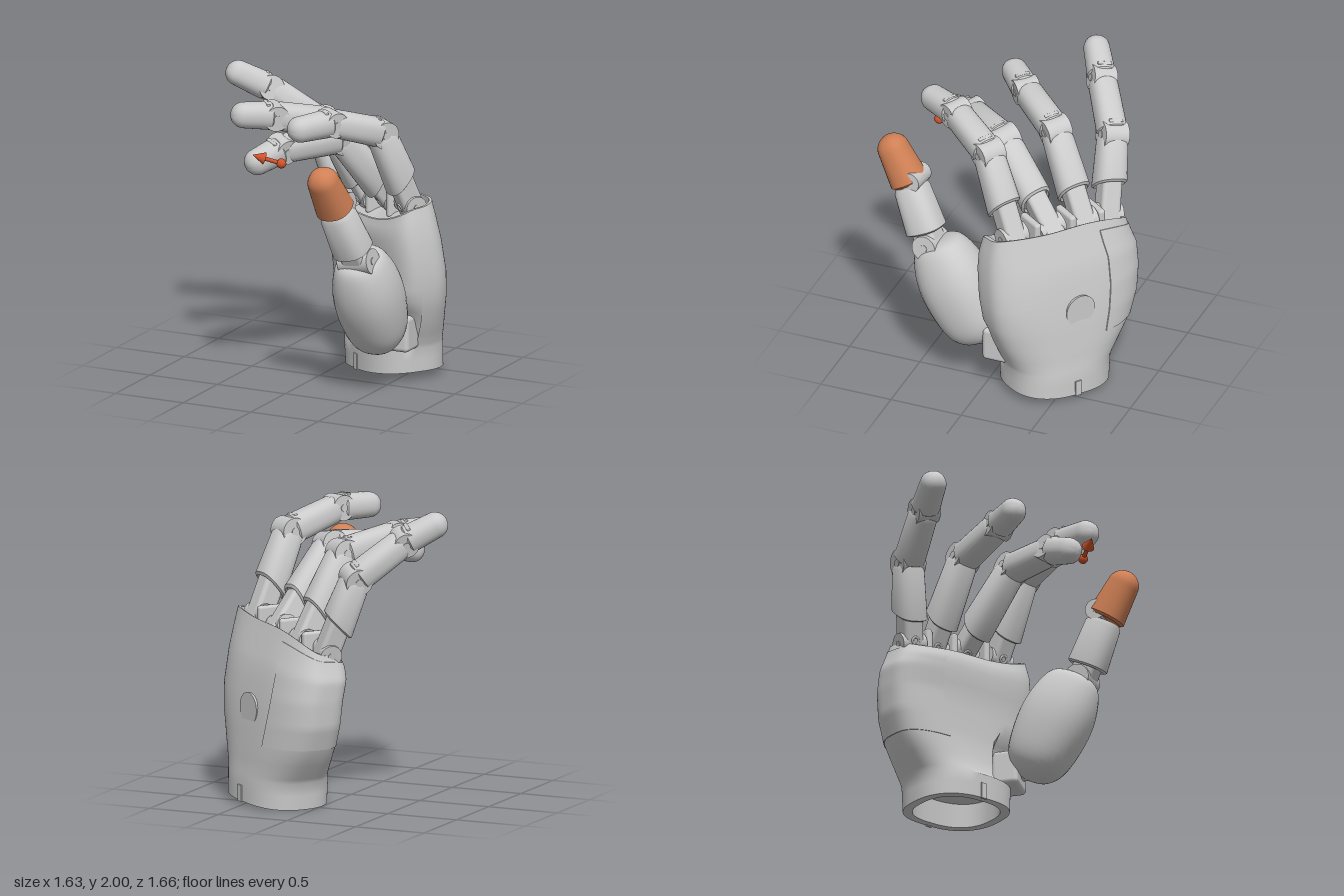
import * as THREE from 'three';
import { toCreasedNormals } from 'three/addons/utils/BufferGeometryUtils.js';
import { RoundedBoxGeometry } from 'three/addons/geometries/RoundedBoxGeometry.js';

const V = (x, y, z) => new THREE.Vector3(x, y, z);
const grey = new THREE.MeshStandardMaterial({ color: 0xcccccc });
const greyThin = new THREE.MeshStandardMaterial({ color: 0xcccccc, side: THREE.DoubleSide });
const copper = new THREE.MeshStandardMaterial({ color: 0xd08055 });
const orange = new THREE.MeshStandardMaterial({ color: 0xd0532c });

function add(parent, name, geo, mat = grey) {
  const m = new THREE.Mesh(geo, mat);
  m.name = name;
  parent.add(m);
  return m;
}

// Group at point a: local Y runs towards b, local X lies along the hinge axis
function frame(parent, name, a, b, hinge) {
  const g = new THREE.Group();
  const y = b.clone().sub(a).normalize();
  const x = hinge.clone().addScaledVector(y, -hinge.dot(y)).normalize();
  g.quaternion.setFromRotationMatrix(new THREE.Matrix4().makeBasis(x, y, x.clone().cross(y)));
  g.position.copy(a);
  g.name = name;
  parent.add(g);
  return g;
}

// Lathe with a slightly squared cross-section; slant tilts the rings below height yCut
function squaredLathe(profile, p = 2.6, depth = 1, slant = 0, yCut = 0) {
  const geo = new THREE.LatheGeometry(profile.map(([r, y]) => new THREE.Vector2(r, y)), 32);
  const pos = geo.attributes.position;
  for (let i = 0; i < pos.count; i++) {
    const x = pos.getX(i), y = pos.getY(i), z = pos.getZ(i), r = Math.hypot(x, z);
    if (r < 1e-5) continue;
    const k = 1 / Math.pow(Math.abs(x / r) ** p + Math.abs(z / r) ** p, 1 / p);
    pos.setXYZ(i, x * k, y - (y < yCut ? slant * z * k : 0), z * k * depth);
  }
  return toCreasedNormals(geo, 0.6);
}

const sleeve = (r0, r1, y0, y1, slant = 0) => squaredLathe([
  [0, y0 + 0.02], [r0 * 0.8, y0 + 0.02], [r0 * 0.86, y0], [r0, y0 + 0.012],
  [r1, y1 - 0.03], [r1 * 0.85, y1], [0, y1]], 2.6, 1, slant, y0 + 0.03);

function fingertip(r0, r1, y0, y1) {
  const pts = [[0, y0], [r0 * 0.85, y0], [r0, y0 + 0.015]];
  for (let i = 0; i <= 8; i++) {
    const t = i / 8 * Math.PI / 2;
    pts.push([r1 * Math.cos(t), y1 + r1 * Math.sin(t)]);
  }
  return squaredLathe(pts, 2.3);
}

function hingePin(parent, name, r, len) {
  const pin = add(parent, name, new THREE.CylinderGeometry(r, r, len, 28));
  pin.rotation.z = Math.PI / 2;
  for (const s of [-1, 1]) {
    const cap = add(parent, name + 'Cap', new THREE.CylinderGeometry(r * 0.3, r * 0.3, 0.01, 16));
    cap.rotation.z = Math.PI / 2;
    cap.position.x = s * len / 2;
  }
}

// Palm rows: height, side tilt, back lift, centre x, centre z, half width, half depth, roundness, thumb dent, back bulge
const C = Math.cos(0.61), S = Math.sin(0.61);
const rows = [
  [0.03, 0.03, 0, 0.35, -0.40, 0.36, 0.285, 2.5, 0, 0],
  [0.20, 0.02, 0, 0.345, -0.40, 0.37, 0.285, 2.5, 0, 0],
  [0.23, 0.02, 0, 0.34, -0.405, 0.385, 0.265, 2.6, 0.10, 0.05],
  [0.42, 0, 0, 0.31, -0.42, 0.495, 0.225, 3, 0.08, 0.2],
  [0.58, 0, 0, 0.305, -0.415, 0.55, 0.215, 3.2, 0, 0.22],
  [0.75, 0, 0, 0.30, -0.405, 0.57, 0.205, 3.5, 0, 0.22],
  [0.93, 0.04, 0.02, 0.28, -0.385, 0.57, 0.2, 3.5, 0, 0.2],
  [1.04, 0.06, 0.04, 0.28, -0.37, 0.545, 0.19, 3.5, 0, 0.1],
  [1.14, 0.08, 0.07, 0.28, -0.37, 0.52, 0.165, 3.5, 0, 0]];

function palmPoint(y, t, scale = 1, offset = 0) {
  let i = 0;
  while (i < rows.length - 2 && y > rows[i + 1][0]) i++;
  const f = THREE.MathUtils.clamp((y - rows[i][0]) / (rows[i + 1][0] - rows[i][0]), 0, 1);
  const [, tilt, lift, cx, cz, a, b, p, dent, bulge] = rows[i].map((v, k) => THREE.MathUtils.lerp(v, rows[i + 1][k], f));
  const c = Math.cos(t), s = Math.sin(t);
  const u = Math.sign(c) * Math.abs(c) ** (2 / p) * (a * scale + offset);
  let n = Math.sign(s) * Math.abs(s) ** (2 / p) * (b * scale + offset);
  if (s < 0) n *= 1 + bulge * s * s;
  if (c > 0.2 && s > 0.1) n -= dent;
  return V(cx + u * C - n * S, y + (tilt * c - lift * s) * scale, cz + u * S + n * C);
}

// Skin over a grid of points
function loft(fn, nu, nv) {
  const pos = [], idx = [];
  for (let i = 0; i <= nv; i++) for (let j = 0; j <= nu; j++) pos.push(...fn(i, j).toArray());
  for (let i = 0; i < nv; i++) for (let j = 0; j < nu; j++) {
    const a = i * (nu + 1) + j, b = a + 1, c = a + nu + 1, d = c + 1;
    idx.push(a, c, b, b, c, d);
  }
  const g = new THREE.BufferGeometry();
  g.setAttribute('position', new THREE.Float32BufferAttribute(pos, 3));
  g.setIndex(idx);
  return toCreasedNormals(g, 0.6);
}

function buildPalm(parent) {
  const g = new THREE.Group();
  g.name = 'palm';
  parent.add(g);
  // Hollow wrist, outer skin, then the shallow knuckle tray: [height, scale, drop]
  const rings = [[0.2, 0.01, 0], [0.2, 0.8, 0], [0.03, 0.82, 0]];
  for (const y of [0.03, 0.12, 0.2, 0.23, 0.32, 0.42, 0.5, 0.58, 0.66, 0.75, 0.84, 0.93, 0.98, 1.04, 1.09, 1.14]) rings.push([y, 1, 0]);
  rings.push([1.14, 0.94, 0], [1.14, 0.92, 0.05], [1.14, 0.01, 0.05]);
  add(g, 'palmShell', loft((i, j) => {
    const q = palmPoint(rings[i][0], j / 96 * Math.PI * 2, rings[i][1]);
    q.y -= rings[i][2];
    return q;
  }, 96, rings.length - 1));
  // Thin cover on the little finger side
  const nu = 42, nv = 24;
  add(g, 'sideCover', loft((i, j) => {
    const edge = i === 0 || i === nv || j === 0 || j === nu;
    const k = THREE.MathUtils.clamp((i - 1) / (nv - 2), 0, 1), f = THREE.MathUtils.clamp((j - 1) / (nu - 2), 0, 1);
    return palmPoint(0.43 + 0.66 * k, (104 + 152 * f) * Math.PI / 180, 1, edge ? -0.012 : 0.005);
  }, nu, nv), greyThin);
  // Round lid on the back of the hand
  const lid = add(g, 'backLid', new THREE.CylinderGeometry(0.105, 0.11, 0.02, 40));
  lid.position.copy(palmPoint(0.65, -Math.PI / 2));
  lid.rotation.set(Math.PI / 2, 0, 0.61);
  // Wrist keys
  for (const t of [90, -90]) {
    const key = add(g, 'wristKey', new THREE.BoxGeometry(0.045, 0.11, 0.016));
    key.position.copy(palmPoint(0.08, t * Math.PI / 180));
    key.rotation.y = -0.61;
  }
}

function buildFinger(parent, name, K, P, D, T) {
  const g = new THREE.Group();
  g.name = name;
  parent.add(g);
  const hinge = P.clone().sub(K).cross(D.clone().sub(P)).normalize();
  const L1 = K.distanceTo(P), L2 = P.distanceTo(D), L3 = D.distanceTo(T);
  // Knuckle: fork block, hinge pin and screw
  const base = frame(g, 'knuckle', K, P, hinge);
  add(base, 'knuckleBlock', new RoundedBoxGeometry(0.14, 0.36, 0.15, 3, 0.03)).position.y = 0.08;
  hingePin(base, 'knucklePin', 0.075, 0.18);
  const screw = add(base, 'knuckleScrew', new THREE.TorusGeometry(0.024, 0.008, 8, 20));
  screw.position.set(0, 0.02, 0.075);
  add(base, 'proximalSleeve', sleeve(0.111, 0.099, 0.19, L1 - 0.01, 0.5));
  // Middle part
  const mid = frame(g, 'middleJoint', P, D, hinge);
  hingePin(mid, 'middlePin', 0.092, 0.17);
  add(mid, 'middleSleeve', sleeve(0.098, 0.093, 0.02, L2 - 0.015));
  // End part
  const end = frame(g, 'endJoint', D, T, hinge);
  hingePin(end, 'endPin', 0.085, 0.16);
  add(end, 'fingertip', fingertip(0.093, 0.085, 0.015, L3));
  // Narrow stop tabs set into the backs of the two outer joints
  for (const [joint, r] of [[mid, 0.089], [end, 0.084]]) {
    add(joint, 'stopTab', new RoundedBoxGeometry(0.1, 0.025, 0.02, 2, 0.006)).position.set(0, 0.06, -r);
  }
}

function buildThumb(parent) {
  const g = new THREE.Group();
  g.name = 'thumb';
  parent.add(g);
  const hinge = V(1, 0, 0);
  // Mount between palm and thumb
  const mount = add(g, 'thumbMount', new RoundedBoxGeometry(0.24, 0.24, 0.18, 3, 0.03));
  mount.position.set(0.53, 0.35, -0.09);
  const axle = add(g, 'thumbAxle', new THREE.CylinderGeometry(0.075, 0.075, 0.26, 28));
  axle.position.set(0.54, 0.37, 0.03);
  axle.rotation.x = Math.PI / 2;
  // Egg-shaped thumb base
  const egg = frame(g, 'thumbBase', V(0.49, 0.645, 0.228), V(0.485, 1.0, 0.4), hinge);
  const outline = [[0, -0.41], [0.11, -0.38], [0.185, -0.27], [0.22, -0.05], [0.213, 0.14], [0.165, 0.31], [0.1, 0.365], [0, 0.375]];
  const curve = new THREE.SplineCurve(outline.map(([r, y]) => new THREE.Vector2(r, y)));
  const smooth = curve.getPoints(36).map(p => [Math.max(p.x, 0), p.y]);
  add(egg, 'thumbBaseShell', squaredLathe(smooth, 2.3, 1.1));
  // First joint and sleeve
  const K = V(0.5, 0.95, 0.42), P = V(0.425, 1.34, 0.6), T = V(0.4, 1.555, 0.727);
  const low = frame(g, 'thumbLowerJoint', K, P, hinge);
  add(low, 'thumbFork', new RoundedBoxGeometry(0.17, 0.24, 0.16, 3, 0.03)).position.y = 0.02;
  hingePin(low, 'thumbLowerPin', 0.085, 0.23);
  add(low, 'thumbSleeve', sleeve(0.13, 0.115, 0.09, 0.42));
  // Second joint and coloured tip
  const up = frame(g, 'thumbUpperJoint', P, T, hinge);
  const pin = new THREE.Group();
  pin.name = 'thumbUpperHinge';
  pin.position.set(0, 0.02, -0.055);
  up.add(pin);
  hingePin(pin, 'thumbUpperPin', 0.07, 0.2);
  add(up, 'thumbTip', fingertip(0.125, 0.104, 0.0, P.distanceTo(T)), copper);
}

// Ball with an arrow in front of the middle fingertip
function buildPointer(parent) {
  const g = frame(parent, 'pointer', V(0.005, 1.595, 0.565), V(-0.155, 1.66, 0.67), V(0, 1, 0));
  add(g, 'pointerBall', new THREE.SphereGeometry(0.033, 24, 16), orange);
  add(g, 'pointerShaft', new THREE.CylinderGeometry(0.014, 0.014, 0.14, 16), orange).position.y = 0.07;
  add(g, 'pointerHead', new THREE.ConeGeometry(0.042, 0.085, 24), orange).position.y = 0.16;
}

export function createModel() {
  const hand = new THREE.Group();
  hand.name = 'roboticHand';
  buildPalm(hand);
  // Knuckle, two outer joints and tip centre of each finger
  const fingers = {
    littleFinger: [V(-0.1, 1.07, -0.59), V(-0.29, 1.57, -0.55), V(-0.555, 1.81, -0.365), V(-0.73, 1.915, -0.255)],
    ringFinger: [V(0.11, 1.12, -0.5), V(-0.05, 1.67, -0.24), V(-0.3, 1.76, 0.07), V(-0.455, 1.78, 0.215)],
    middleFinger: [V(0.34, 1.17, -0.36), V(0.17, 1.66, 0.03), V(-0.09, 1.635, 0.37), V(-0.195, 1.57, 0.525)],
    indexFinger: [V(0.575, 1.2, -0.19), V(0.465, 1.73, 0.025), V(0.26, 1.85, 0.34), V(0.135, 1.84, 0.55)]
  };
  const list = Object.entries(fingers);
  list.forEach(([name, joints], i) => {
    buildFinger(hand, name, ...joints);
    if (i === 0) return;
    // Web between neighbouring knuckles
    const web = add(hand, 'knuckleWeb', new RoundedBoxGeometry(0.05, 0.2, 0.2, 3, 0.02));
    web.position.copy(joints[0]).add(list[i - 1][1][0]).multiplyScalar(0.5);
    web.rotation.y = -0.61;
  });
  buildThumb(hand);
  buildPointer(hand);
  return hand;
}
